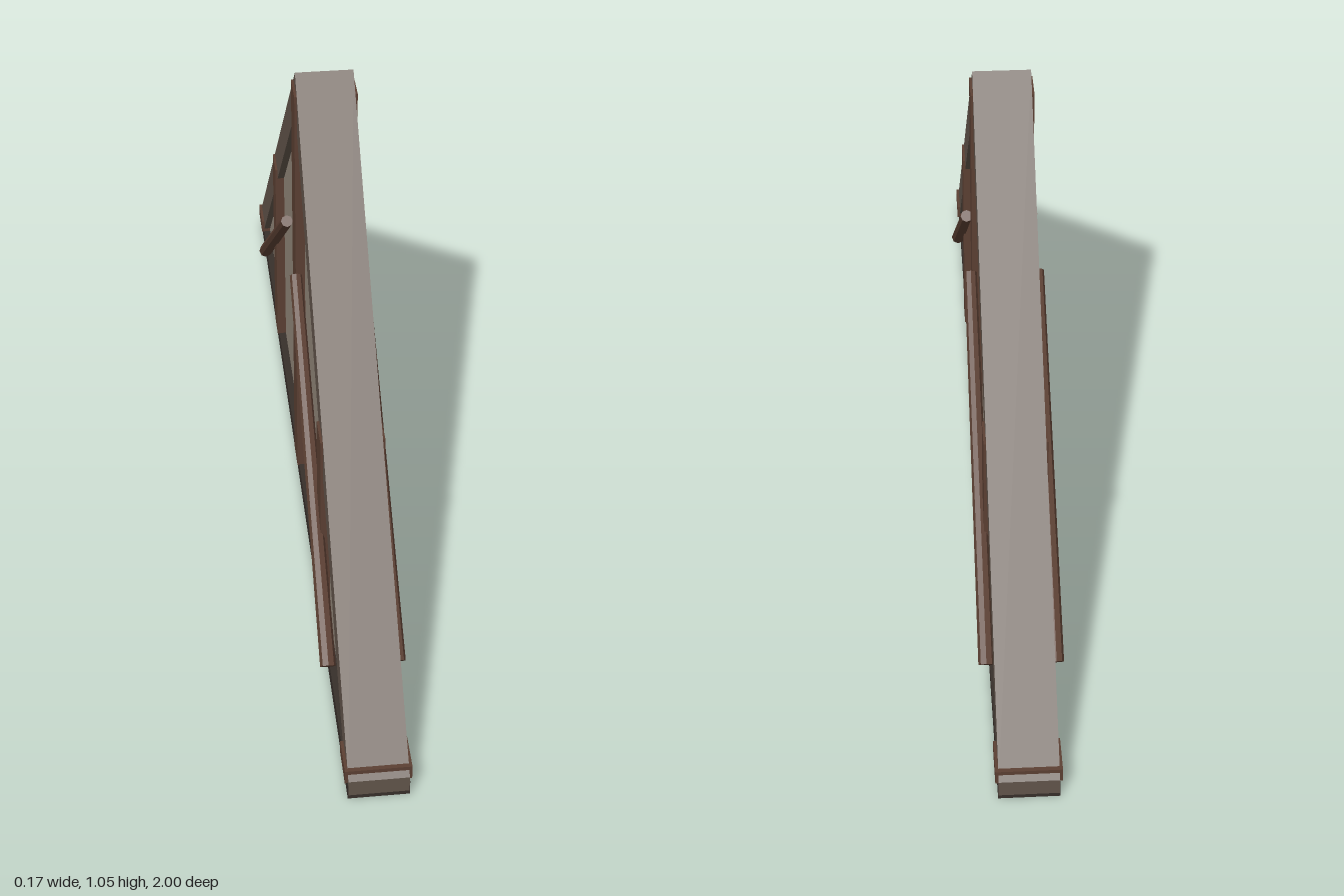
import * as THREE from 'three';

const mat = (color) => new THREE.MeshStandardMaterial({ color, flatShading: true });

export function createModel() {
  const group = new THREE.Group();
  const stone = mat(0x62554b), plaster = mat(0x92877a), dark = mat(0x38302b), wood = mat(0x5c4033);

  const add = (name, geometry, material, x = 0, y = 0, z = 0) => {
    const mesh = new THREE.Mesh(geometry, material);
    mesh.name = name;
    mesh.position.set(x, y, z);
    group.add(mesh);
    return mesh;
  };
  const outline = (points) => points.map(([z, y]) => new THREE.Vector2(z, y));
  // Extrude a z-y outline symmetrically across x
  const slab = (shape, depth) => new THREE.ExtrudeGeometry(shape, { depth, bevelEnabled: false })
    .translate(0, 0, -depth / 2).rotateY(-Math.PI / 2);

  // Sloping rafters, joined as one triangular frame
  const frame = new THREE.Shape(outline([[-1, 0.01], [1, 0.01], [1, 0.047], [0, 1.047], [-1, 0.047]]));
  frame.holes.push(new THREE.Path(outline([[-0.92, 0.034], [0, 0.954], [0.92, 0.034]])));
  add('rafters', slab(frame, 0.12), stone);

  // Recessed infill panel
  add('gablePanel', slab(new THREE.Shape(outline([[-0.93, 0.03], [0.93, 0.03], [0, 0.96]])), 0.09), plaster);

  // Bottom beam
  add('baseBeam', new THREE.BoxGeometry(0.122, 0.035, 1.998), dark, 0, 0.0175, 0);

  // Upright posts running through the gable
  for (const [z, top] of [[-0.5, 0.512], [0, 1.01], [0.5, 0.512]]) {
    add('post', new THREE.BoxGeometry(0.13, top - 0.033, 0.07), wood, 0, (top + 0.033) / 2, z);
  }

  for (const end of [-1, 1]) {
    // Small blocks where rafter meets beam
    add('cornerBlock', new THREE.BoxGeometry(0.132, 0.032, 0.08), wood, 0, 0.05, end * 0.95);

    // Round diagonal braces on both faces
    for (const side of [-1, 1]) {
      const low = new THREE.Vector3(side * 0.071, 0.096, end * 0.735);
      const high = new THREE.Vector3(side * 0.071, 0.614, end * 0.102);
      const direction = high.clone().sub(low);
      const brace = add('diagonalBrace', new THREE.CylinderGeometry(0.013, 0.016, direction.length(), 8), wood);
      brace.position.copy(low).add(high).multiplyScalar(0.5);
      brace.quaternion.setFromUnitVectors(new THREE.Vector3(0, 1, 0), direction.normalize());
    }
  }
  return group;
}
